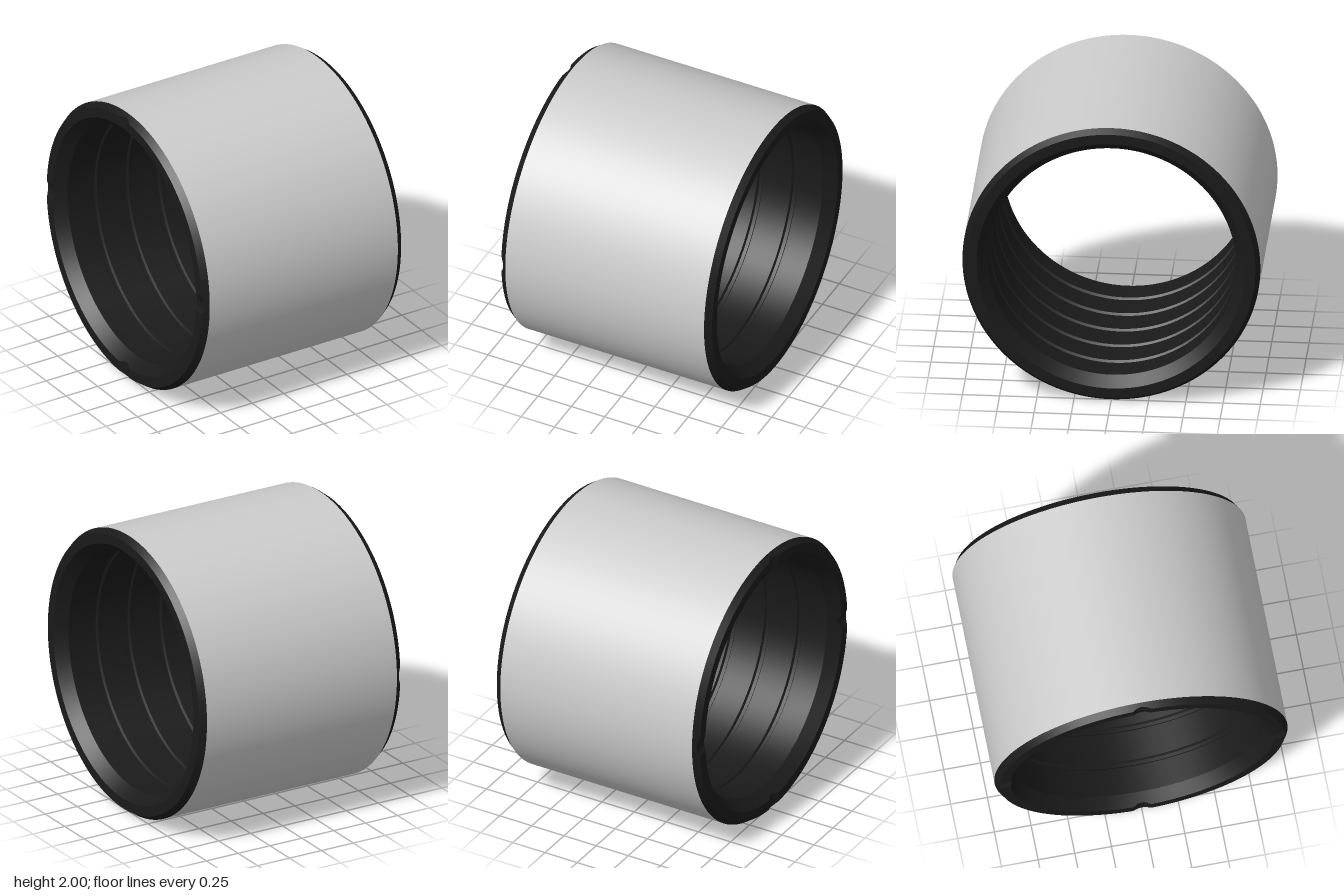
import * as THREE from 'three';
import { toCreasedNormals } from 'three/addons/utils/BufferGeometryUtils.js';

const HALF = 0.79;       // half length along x
const SHELL = 0.745;     // half length of the straight outer wall
const BORE = 0.835;      // inner radius
const RIM_OUT = 0.97, RIM_IN = 0.9;   // flat end face
const SEGMENTS = 288;

// Lathe of [radius, x] pairs, laid along the x axis
function turn(profile) {
  const points = profile.map(([r, x]) => new THREE.Vector2(r, x));
  return new THREE.LatheGeometry(points, SEGMENTS).rotateZ(-Math.PI / 2);
}

// Four shallow round notches in the -x end face
function cutNotches(geometry) {
  const width = 0.058, depth = 0.02;
  const radius = (width * width + depth * depth) / (2 * depth);
  const p = geometry.attributes.position;
  for (let i = 0; i < p.count; i++) {
    const x = p.getX(i), y = p.getY(i), z = p.getZ(i);
    const t = Math.min(Math.abs(y), Math.abs(z));
    if (t >= width || x > -HALF + depth) continue;
    const floor = -HALF - radius + depth + Math.sqrt(radius * radius - t * t);
    const push = floor - x;
    if (push <= 0) continue;
    // Rim corners slide along their chamfers
    const r = Math.hypot(y, z);
    let newR = r;
    if (Math.abs(r - RIM_OUT) < 0.001) newR += push * (1 - RIM_OUT) / (HALF - SHELL);
    if (Math.abs(r - RIM_IN) < 0.001) newR -= push * 0.8;
    p.setXYZ(i, floor, y * newR / r, z * newR / r);
  }
  return geometry;
}

export function createModel() {
  const group = new THREE.Group();
  const grey = new THREE.MeshStandardMaterial({ color: 0xcccccc });
  const black = new THREE.MeshStandardMaterial({ color: 0x1a1a1a });

  const add = (name, geometry, material) => {
    const mesh = new THREE.Mesh(toCreasedNormals(geometry, 0.35), material);
    mesh.name = name;
    mesh.position.y = 1;
    group.add(mesh);
  };

  // Plain outer wall
  add('outerSleeve', turn([[1, -SHELL], [1, SHELL]]), grey);

  // Liner: chamfered ends and a bore with five ring grooves
  const profile = [[1, SHELL], [RIM_OUT, HALF], [RIM_IN, HALF], [BORE, HALF - 0.08]];
  for (const x of [0.5, 0.25, 0, -0.25, -0.5]) {
    profile.push([BORE, x + 0.022], [BORE + 0.015, x + 0.012],
      [BORE + 0.015, x - 0.012], [BORE, x - 0.022]);
  }
  profile.push([BORE, -HALF + 0.08], [RIM_IN, -HALF], [RIM_OUT, -HALF], [1, -SHELL]);
  add('innerLiner', cutNotches(turn(profile)), black);

  return group;
}
